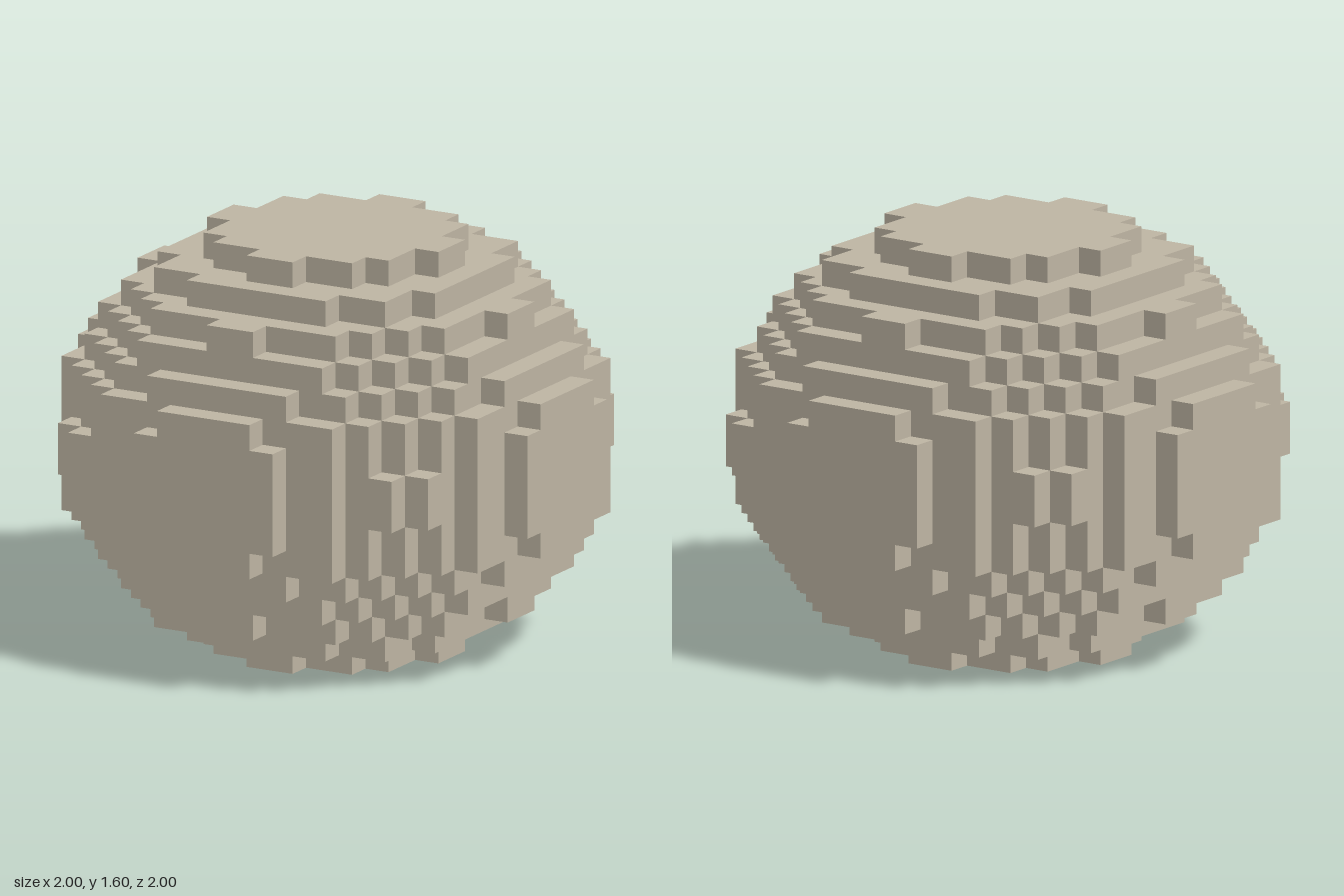
import * as THREE from 'three';
import { mergeGeometries } from 'three/addons/utils/BufferGeometryUtils.js';

const CELL = 0.1;      // edge of one block
const HALF_WIDTH = 10; // blocks from centre to side
const HALF_HEIGHT = 8; // blocks from centre to top

// A block belongs to the body when its centre lies inside a flattened ellipsoid
function isFilled(i, j, k) {
  const x = i + 0.5, y = j + 0.5, z = k + 0.5;
  return x * x + z * z + 1.44 * y * y <= 101.6;
}

// One outward-facing unit square for each of the six block sides
const sides = [
  { dir: [1, 0, 0], rot: [0, Math.PI / 2] },
  { dir: [-1, 0, 0], rot: [0, -Math.PI / 2] },
  { dir: [0, 1, 0], rot: [-Math.PI / 2, 0] },
  { dir: [0, -1, 0], rot: [Math.PI / 2, 0] },
  { dir: [0, 0, 1], rot: [0, 0] },
  { dir: [0, 0, -1], rot: [0, Math.PI] },
].map(({ dir, rot }) => {
  const square = new THREE.PlaneGeometry(CELL, CELL);
  square.translate(0, 0, CELL / 2);
  square.rotateX(rot[0]);
  square.rotateY(rot[1]);
  return { dir, square };
});

// Blocky shell: only the squares between a filled and an empty block
function blockShell() {
  const faces = [];
  for (let i = -HALF_WIDTH; i < HALF_WIDTH; i++)
    for (let j = -HALF_HEIGHT; j < HALF_HEIGHT; j++)
      for (let k = -HALF_WIDTH; k < HALF_WIDTH; k++) {
        if (!isFilled(i, j, k)) continue;
        for (const { dir, square } of sides) {
          if (isFilled(i + dir[0], j + dir[1], k + dir[2])) continue;
          faces.push(square.clone().translate(
            (i + 0.5) * CELL, (j + 0.5 + HALF_HEIGHT) * CELL, (k + 0.5) * CELL));
        }
      }
  return mergeGeometries(faces);
}

export function createModel() {
  const stone = new THREE.MeshStandardMaterial({ color: 0xbfb6a4 });
  stone.name = 'stone';

  const boulder = new THREE.Mesh(blockShell(), stone);
  boulder.name = 'blockBoulder';

  const model = new THREE.Group();
  model.name = 'boulder';
  model.add(boulder);
  return model;
}
